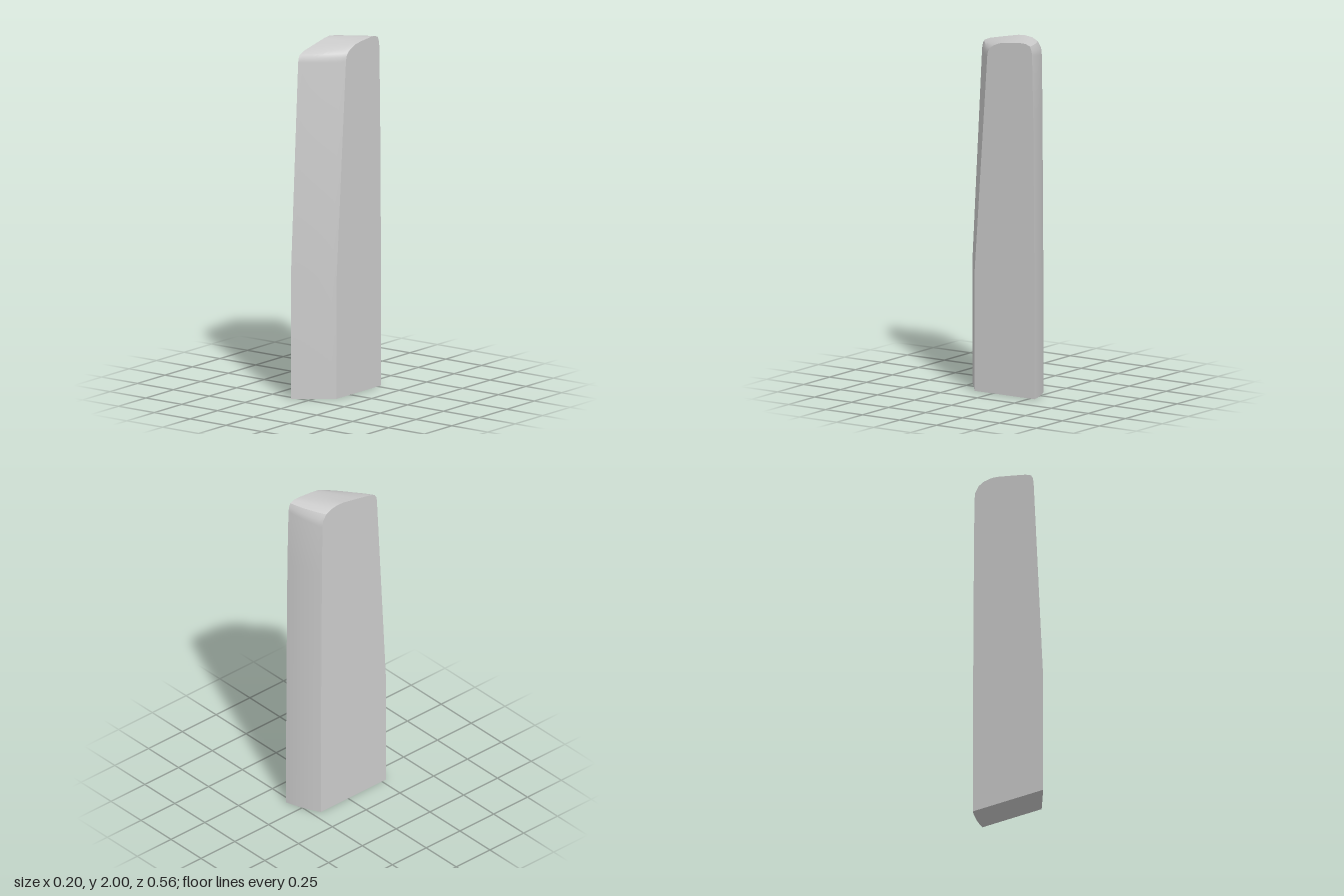
import * as THREE from 'three';
import { toCreasedNormals } from 'three/addons/utils/BufferGeometryUtils.js';

// Side outlines as [z, y], matched point for point: up the front, over the top, down the back
const rightOutline = [
  [0.28, 0], [0.28, 0.68], [0.213, 1.9], [0.208, 1.925], [0.196, 1.943], [0.16, 1.957],
  [0.06, 1.978], [-0.03, 1.996], [-0.07, 2.0], [-0.125, 1.993], [-0.162, 1.975],
  [-0.185, 1.94], [-0.19, 1.9], [-0.194, 1.6], [-0.2, 0.7], [-0.202, 0],
];
const leftOutline = [
  [0.124, 0], [0.124, 0.68], [0.039, 1.9], [0.035, 1.925], [0.024, 1.945], [0, 1.964],
  [-0.04, 1.982], [-0.09, 1.991], [-0.19, 2.0], [-0.222, 1.999], [-0.25, 1.988],
  [-0.26, 1.965], [-0.264, 1.94], [-0.272, 1.6], [-0.28, 0.7], [-0.282, 0],
];
const HALF_WIDTH = 0.1;
const STEPS = 10;

// Cross-section at u (0 = right side, 1 = left side)
function section(u) {
  const bow = 4 * u * (1 - u);
  return rightOutline.map(([z, y], i) => {
    const [z2, y2] = leftOutline[i];
    let zz = THREE.MathUtils.lerp(z, z2, u);
    if (i >= 10) zz -= 0.008 * bow; // back bows outward
    if (i >= 2 && i <= 5) zz += 0.012 * bow; // front crest is slightly full
    return new THREE.Vector3(
      THREE.MathUtils.lerp(-HALF_WIDTH, HALF_WIDTH, u),
      THREE.MathUtils.lerp(y, y2, u),
      zz
    );
  });
}

function postGeometry() {
  const rings = Array.from({ length: STEPS + 1 }, (_, i) => section(i / STEPS));
  const count = rightOutline.length;
  const points = [];

  // Skin between neighbouring sections, including the underside
  for (let s = 0; s < STEPS; s++) {
    for (let i = 0; i < count; i++) {
      const j = (i + 1) % count;
      const a = rings[s][i], b = rings[s + 1][i];
      const c = rings[s + 1][j], d = rings[s][j];
      points.push(a, b, c, a, c, d);
    }
  }

  // Flat sides
  [rings[0], rings[STEPS]].forEach((ring, side) => {
    const x = ring[0].x;
    const centre = new THREE.Vector3(x, 1, (ring[0].z + ring[count - 1].z) / 2);
    for (let i = 0; i < count; i++) {
      const p = ring[i], q = ring[(i + 1) % count];
      if (side === 0) points.push(centre, p, q);
      else points.push(centre, q, p);
    }
  });

  const geometry = new THREE.BufferGeometry().setFromPoints(points);
  return toCreasedNormals(geometry, 0.5);
}

export function createModel() {
  const group = new THREE.Group();
  group.name = 'slantedPost';
  const post = new THREE.Mesh(
    postGeometry(),
    new THREE.MeshStandardMaterial({ color: 0xcccccc })
  );
  post.name = 'post';
  group.add(post);
  return group;
}
